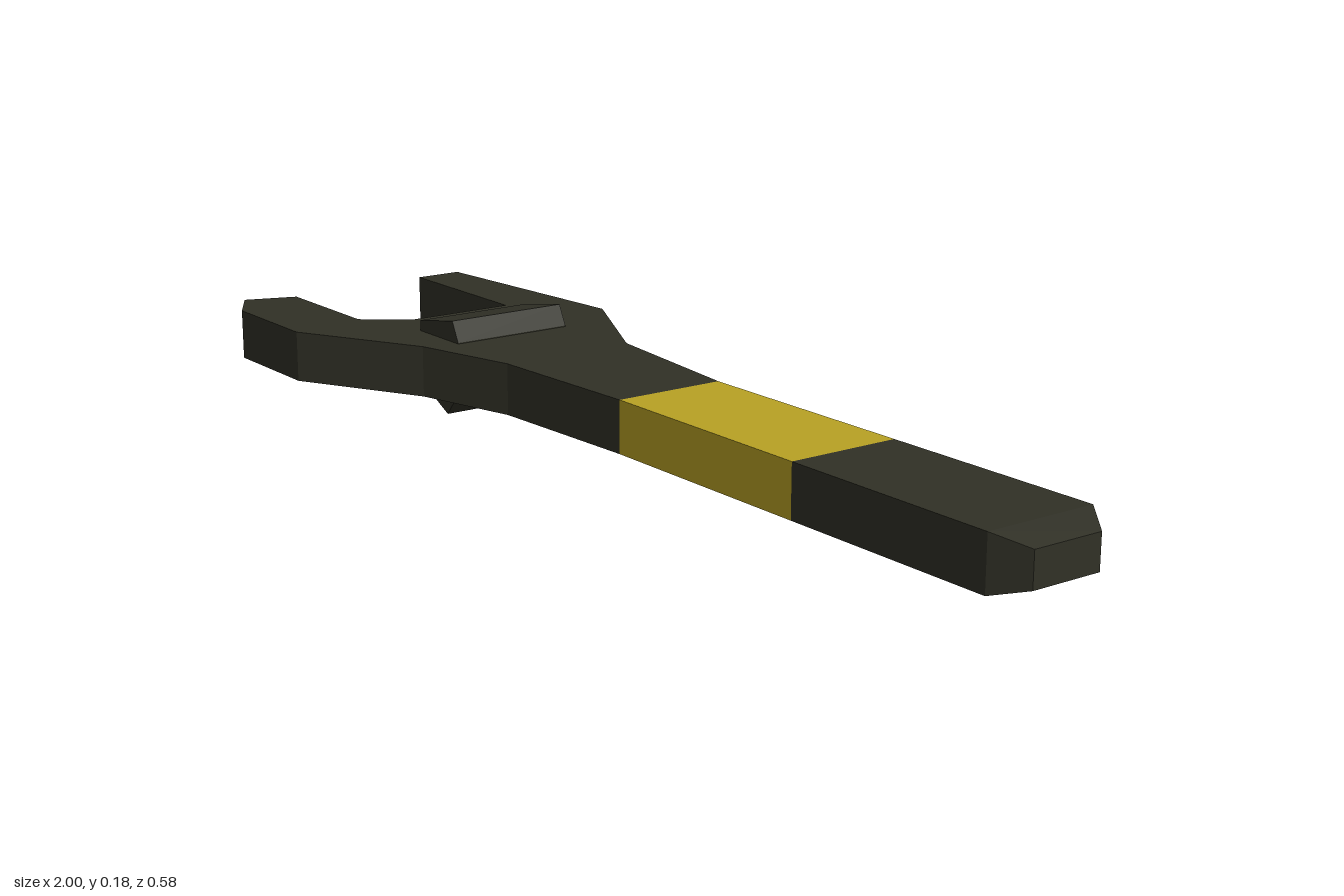
import * as THREE from 'three';

const BOTTOM = 0.05, TOP = 0.145;
const Z0 = -0.127, Z1 = 0.084; // handle sides

function shapeOf(points) {
  return new THREE.Shape(points.map(([x, y]) => new THREE.Vector2(x, y)));
}

export function createModel() {
  const model = new THREE.Group();
  const steel = new THREE.MeshStandardMaterial({ name: 'darkSteel', color: 0x303026, flatShading: true });
  const yellow = new THREE.MeshStandardMaterial({ name: 'yellowGrip', color: 0xb8a224, flatShading: true });

  function add(name, geometry, material) {
    const mesh = new THREE.Mesh(geometry, material);
    mesh.name = name;
    model.add(mesh);
    return mesh;
  }

  // Handle block between two x positions
  function handleBlock(x0, x1) {
    return new THREE.BoxGeometry(x1 - x0, TOP - BOTTOM, Z1 - Z0)
      .translate((x0 + x1) / 2, (TOP + BOTTOM) / 2, (Z0 + Z1) / 2);
  }

  // Open jaw and neck: plan outline in (x, z), extruded through the thickness
  const jaw = new THREE.ExtrudeGeometry(shapeOf([
    [0.07, Z0], [-0.25, -0.163], [-0.51, -0.293], [-0.98, -0.25], [-0.98, -0.157],
    [-0.65, -0.157], [-0.65, 0.055], [-0.715, 0.14], [-0.965, 0.14], [-1, 0.238],
    [-0.915, 0.287], [-0.69, 0.287], [-0.45, 0.155], [-0.25, 0.1], [0.07, Z1],
  ]), { depth: TOP - BOTTOM, bevelEnabled: false });
  jaw.rotateX(Math.PI / 2).translate(0, TOP, 0);
  add('jaw', jaw, steel);

  // Handle: painted band, then the bare end
  add('gripBand', handleBlock(0.07, 0.52), yellow);
  add('handleEnd', handleBlock(0.52, 0.942), steel);

  // Tip: a block whose outer face is drawn in
  const tip = handleBlock(0.942, 1);
  const p = tip.attributes.position;
  for (let i = 0; i < p.count; i++) {
    if (p.getX(i) < 0.99) continue;
    p.setY(i, p.getY(i) > 0.1 ? 0.128 : 0.067);
    p.setZ(i, p.getZ(i) > 0 ? 0.05 : -0.084);
  }
  tip.computeVertexNormals();
  add('handleTip', tip, steel);

  // Wedge lug passing through the head: side profile in (x, y)
  const lug = new THREE.ExtrudeGeometry(shapeOf([
    [-0.58, 0.055], [-0.47, 0.002], [-0.428, 0.052], [-0.428, 0.147],
    [-0.447, 0.185], [-0.562, 0.165], [-0.562, 0.055],
  ]), { depth: 0.24, bevelEnabled: false });
  lug.translate(0, 0, -0.148);
  add('wedgeLug', lug, steel);

  return model;
}
